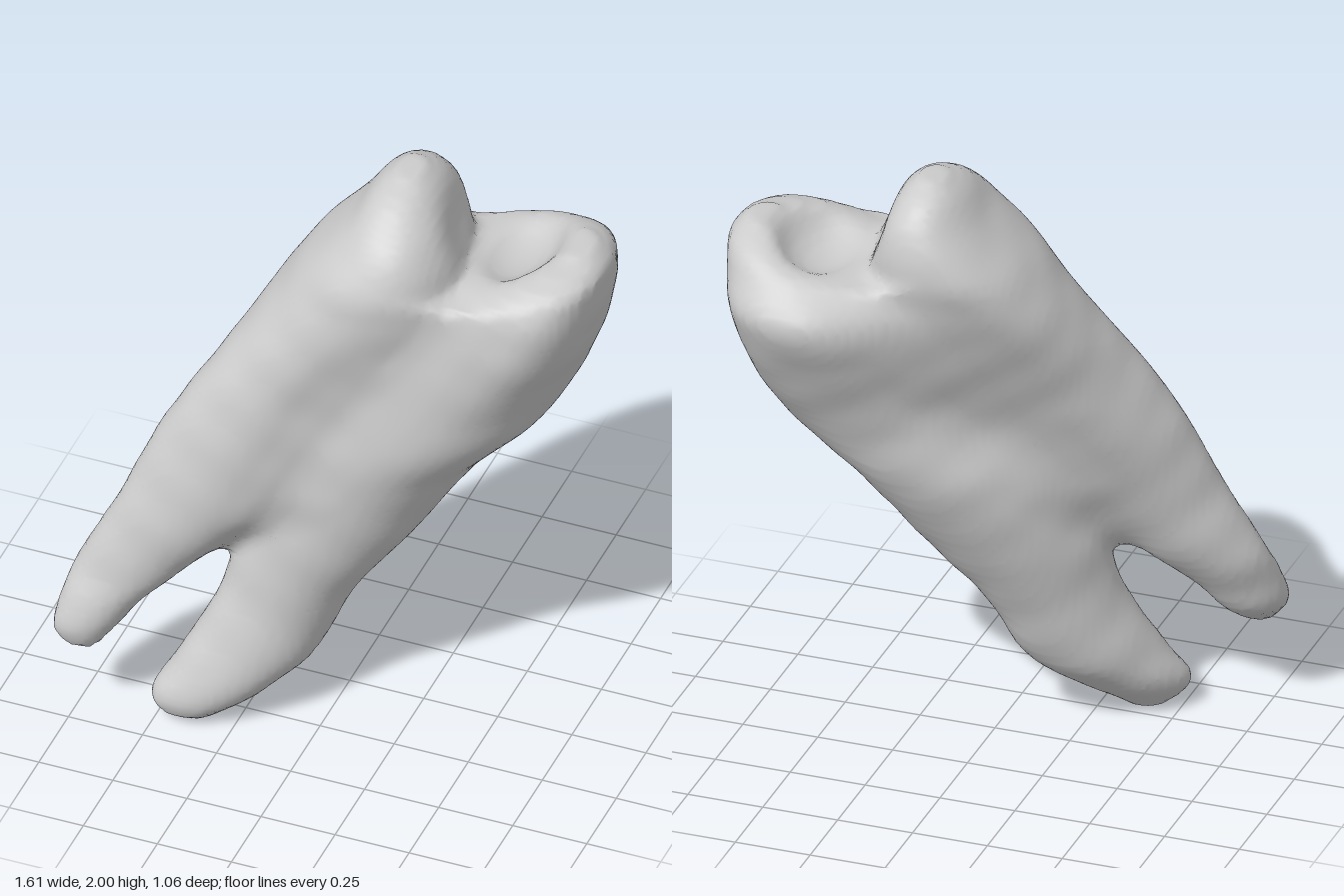
import * as THREE from 'three';

// Horizontal sections of each column: [y, xRight, xLeft, zFront, zBack]
const tallColumn = [
  [0.29, -0.75, -0.66, 0.51, 0.44], [0.36, -0.80, -0.61, 0.535, 0.36], [0.45, -0.79, -0.54, 0.51, 0.31],
  [0.57, -0.755, -0.41, 0.465, 0.23], [0.80, -0.64, -0.18, 0.42, 0.12], [1.08, -0.52, 0.0, 0.36, -0.03],
  [1.37, -0.35, 0.16, 0.29, -0.18], [1.62, -0.20, 0.33, 0.255, -0.32], [1.72, -0.13, 0.37, 0.24, -0.36],
  [1.85, -0.01, 0.325, 0.17, -0.34], [1.95, 0.06, 0.255, 0.05, -0.27], [2.0, 0.12, 0.2, -0.07, -0.18],
];
const shortColumn = [
  [0.0, -0.44, -0.34, 0.37, 0.29], [0.04, -0.49, -0.28, 0.415, 0.25], [0.10, -0.515, -0.19, 0.425, 0.18],
  [0.22, -0.45, -0.06, 0.385, 0.07], [0.45, -0.34, 0.05, 0.31, -0.02], [0.66, -0.29, 0.21, 0.28, -0.12],
  [0.93, -0.17, 0.40, 0.25, -0.25], [1.13, -0.03, 0.595, 0.23, -0.32], [1.40, 0.15, 0.735, 0.18, -0.46],
  [1.57, 0.25, 0.785, 0.155, -0.53], [1.68, 0.34, 0.80, 0.12, -0.46], [1.75, 0.48, 0.80, 0.04, -0.38],
  [1.80, 0.64, 0.75, -0.14, -0.26],
];
const columns = [tallColumn, shortColumn];

// Smooth interpolation of a section table at height y, as centre and radii
function sectionAt(rows, y) {
  const n = rows.length;
  let i = 0;
  while (i < n - 2 && y > rows[i + 1][0]) i++;
  const a = rows[i], b = rows[i + 1], p = rows[Math.max(0, i - 1)], q = rows[Math.min(n - 1, i + 2)];
  const d = b[0] - a[0], t = THREE.MathUtils.clamp((y - a[0]) / d, 0, 1), t2 = t * t, t3 = t2 * t;
  const [x0, x1, z1, z0] = [1, 2, 3, 4].map((c) => {
    const ma = (b[c] - p[c]) / (b[0] - p[0]) * d, mb = (q[c] - a[c]) / (q[0] - a[0]) * d;
    return (2 * t3 - 3 * t2 + 1) * a[c] + (t3 - 2 * t2 + t) * ma + (3 * t2 - 2 * t3) * b[c] + (t3 - t2) * mb;
  });
  const half = Math.max(0.01, (x1 - x0) / 2), rz = Math.max(0.01, (z1 - z0) / 2);
  // the leaning roots have sections drawn out along the lean; the crown does not
  const lean = -0.35 * (1 - THREE.MathUtils.smoothstep(y, 1.2, 1.6));
  return {
    x: (x0 + x1) / 2, z: (z0 + z1) / 2, rx: half * Math.sqrt(1 - lean * lean), rz,
    skew: lean * half / rz, end: Math.max(rows[0][0] - y, y - rows[n - 1][0]),
  };
}

// Approximate distance to a column with rounded, skewed sections
function columnField(s, x, z) {
  const dz = z - s.z, u = Math.abs(x - s.x - s.skew * dz) / s.rx, v = Math.abs(dz) / s.rz;
  const f = (Math.pow(u ** 2.3 + v ** 2.3, 1 / 2.3) - 1) * Math.min(s.rx, s.rz);
  return Math.max(f, s.end);
}

// Wall joining the columns from the fork up to the chewing surface
function wallField(a, b, x, y, z) {
  const dx = b.x - a.x, dz = b.z - a.z;
  const t = THREE.MathUtils.clamp(((x - a.x) * dx + (z - a.z) * dz) / (dx * dx + dz * dz), 0.3, 0.7);
  const fullness = 0.76 * Math.sqrt(THREE.MathUtils.smoothstep(y, 0.6, 0.9))
    + 0.16 * THREE.MathUtils.smoothstep(y, 1.1, 1.45);
  const radius = THREE.MathUtils.lerp(a.rz, b.rz, t) * fullness;
  const f = Math.hypot(x - a.x - t * dx, z - a.z - t * dz) - radius;
  return Math.max(f, 0.62 - y, y - 1.68);
}

function smoothMin(a, b, k) {
  const h = Math.max(k - Math.abs(a - b), 0) / k;
  return Math.min(a, b) - h * h * k / 4;
}

function toothField([a, b], x, y, z) {
  let f = smoothMin(columnField(a, x, z), columnField(b, x, z), 0.06);
  f = smoothMin(f, wallField(a, b, x, y, z), 0.06);
  // shallow hollow between the cusps
  const hollow = (Math.hypot((x - 0.48) / 0.19, (y - 1.9) / 0.24, (z + 0.2) / 0.28) - 1) * 0.19;
  f = -smoothMin(-f, hollow, 0.06);
  // gentle uneven surface
  return f + 0.003 * Math.sin(17 * x + 9 * y) * Math.sin(19 * y - 8 * z) * Math.cos(15 * z + 6 * x);
}

// Skin the blended sections with one smooth quad surface on a regular lattice
function skin(min, size, h) {
  const [nx, ny, nz] = size.map((s) => Math.ceil(s / h) + 1);
  const step = [1, nx, nx * ny];
  const field = new Float32Array(nx * ny * nz);
  for (let j = 0; j < ny; j++) {
    const y = min[1] + j * h, sections = columns.map((rows) => sectionAt(rows, y));
    for (let k = 0; k < nz; k++) for (let i = 0; i < nx; i++) {
      field[i + j * step[1] + k * step[2]] = toothField(sections, min[0] + i * h, y, min[2] + k * h);
    }
  }

  // one vertex per crossed cell, at the mean of its edge crossings
  const positions = [], index = [], vertexOf = new Int32Array(field.length).fill(-1);
  for (let k = 0; k < nz - 1; k++) for (let j = 0; j < ny - 1; j++) for (let i = 0; i < nx - 1; i++) {
    const sum = [0, 0, 0], cell = i + j * step[1] + k * step[2];
    let count = 0;
    for (let corner = 0; corner < 8; corner++) for (let axis = 0; axis < 3; axis++) {
      if (corner & (1 << axis)) continue;
      const o = [corner & 1, (corner >> 1) & 1, corner >> 2];
      const start = cell + o[0] + o[1] * step[1] + o[2] * step[2];
      const f0 = field[start], f1 = field[start + step[axis]];
      if ((f0 < 0) === (f1 < 0)) continue;
      o[axis] = f0 / (f0 - f1);
      o.forEach((value, c) => { sum[c] += value; });
      count++;
    }
    if (!count) continue;
    vertexOf[cell] = positions.length / 3;
    [i, j, k].forEach((g, c) => positions.push(min[c] + (g + sum[c] / count) * h));
  }

  // one quad around each crossed lattice edge
  for (let k = 1; k < nz - 1; k++) for (let j = 1; j < ny - 1; j++) for (let i = 1; i < nx - 1; i++) {
    const cell = i + j * step[1] + k * step[2];
    for (let axis = 0; axis < 3; axis++) {
      const inside = field[cell] < 0;
      if (inside === field[cell + step[axis]] < 0) continue;
      const u = step[(axis + 1) % 3], v = step[(axis + 2) % 3];
      const q = [cell - u - v, cell - v, cell, cell - u].map((c) => vertexOf[c]);
      if (!inside) q.reverse();
      index.push(q[0], q[1], q[2], q[0], q[2], q[3]);
    }
  }
  const geometry = new THREE.BufferGeometry();
  geometry.setAttribute('position', new THREE.Float32BufferAttribute(positions, 3));
  geometry.setIndex(index);
  geometry.computeVertexNormals();
  return geometry;
}

export function createModel() {
  const group = new THREE.Group();
  group.name = 'twoRootedTooth';
  const material = new THREE.MeshStandardMaterial({ color: 0xcccccc });
  const tooth = new THREE.Mesh(skin([-0.9, -0.1, -0.65], [1.8, 2.2, 1.3], 0.022), material);
  tooth.name = 'toothCrownAndRoots';
  group.add(tooth);
  return group;
}
